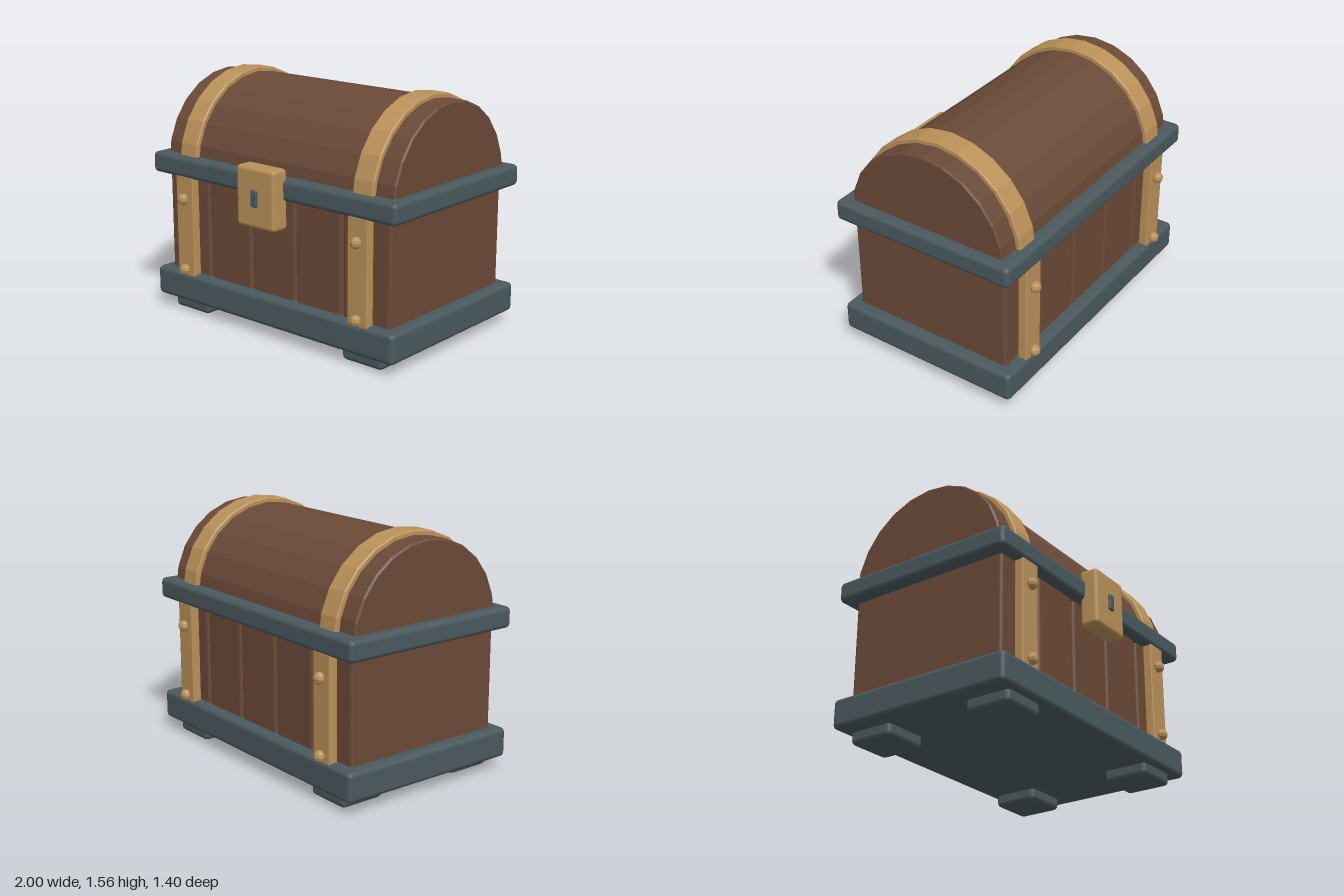
import * as THREE from 'three';
import { RoundedBoxGeometry } from 'three/addons/geometries/RoundedBoxGeometry.js';

const MID_Z = -0.03; // centre of the chest body, the lock sticks out in front
const LID_Y = 0.975; // axis height of the barrel lid

export function createModel() {
  const chest = new THREE.Group();
  chest.name = 'treasureChest';

  const material = (name, color) => {
    const m = new THREE.MeshStandardMaterial({ color });
    m.name = name;
    return m;
  };
  const wood = material('brown wood', 0x6b4a38);
  const iron = material('slate iron', 0x4a595e);
  const brass = material('brass', 0xba9159);

  const add = (name, geometry, mat, x, y, z) => {
    const mesh = new THREE.Mesh(geometry, mat);
    mesh.name = name;
    mesh.position.set(x, y, z);
    chest.add(mesh);
    return mesh;
  };
  const block = (name, mat, size, pos, radius) =>
    add(name, new RoundedBoxGeometry(...size, 2, radius), mat, ...pos);

  // Points on a half circle of 12 facets
  const arc = (r) => Array.from({ length: 13 }, (_, i) =>
    new THREE.Vector2(r * Math.cos(i * Math.PI / 12), r * Math.sin(i * Math.PI / 12)));

  // Faceted profile extruded along x with small bevelled ends
  const barrel = (points, width, bevel) => {
    const g = new THREE.ExtrudeGeometry(new THREE.Shape(points), {
      depth: width - 2 * bevel, bevelEnabled: true, bevelSegments: 1,
      bevelThickness: bevel, bevelSize: bevel, bevelOffset: -bevel,
    });
    g.translate(0, 0, bevel - width / 2);
    return g.rotateY(Math.PI / 2);
  };

  // Iron base and rim
  block('base', iron, [1.98, 0.19, 1.26], [0, 0.17, MID_Z], 0.03);
  block('rim', iron, [2, 0.135, 1.26], [0, 0.978, MID_Z], 0.03);

  // Five upright planks with narrow gaps
  for (let i = -2; i <= 2; i++) {
    block('plank', wood, [0.355, 0.8, 1.11], [i * 0.368, 0.57, MID_Z + 0.002], 0.02);
  }

  // Barrel lid
  add('lid', barrel(arc(0.555), 1.86, 0.01), wood, 0, LID_Y, MID_Z);

  const lidStrap = barrel([...arc(0.585), ...arc(0.54).reverse()], 0.15, 0.008);
  const rivet = new THREE.SphereGeometry(0.037, 8, 6).toNonIndexed();
  rivet.computeVertexNormals();

  for (const side of [-1, 1]) {
    const x = side * 0.72;
    add('lidStrap', lidStrap, brass, x, LID_Y, MID_Z);
    // Straps with rivets and feet, front and back
    for (const face of [1, -1]) {
      block('bodyStrap', brass, [0.15, 0.74, 0.06], [x, 0.58, MID_Z + face * 0.59], 0.008);
      for (const y of [0.295, 0.77]) {
        add('rivet', rivet, brass, x, y, MID_Z + face * 0.632);
      }
      block('foot', iron, [0.305, 0.12, 0.305], [side * 0.723, 0.06, MID_Z + face * 0.43], 0.03);
    }
  }

  // Lock plate and keyhole
  block('lockPlate', brass, [0.312, 0.38, 0.125], [0, 0.92, 0.623], 0.025);
  block('keyhole', iron, [0.05, 0.106, 0.04], [0, 0.92, 0.68], 0.01);

  return chest;
}
